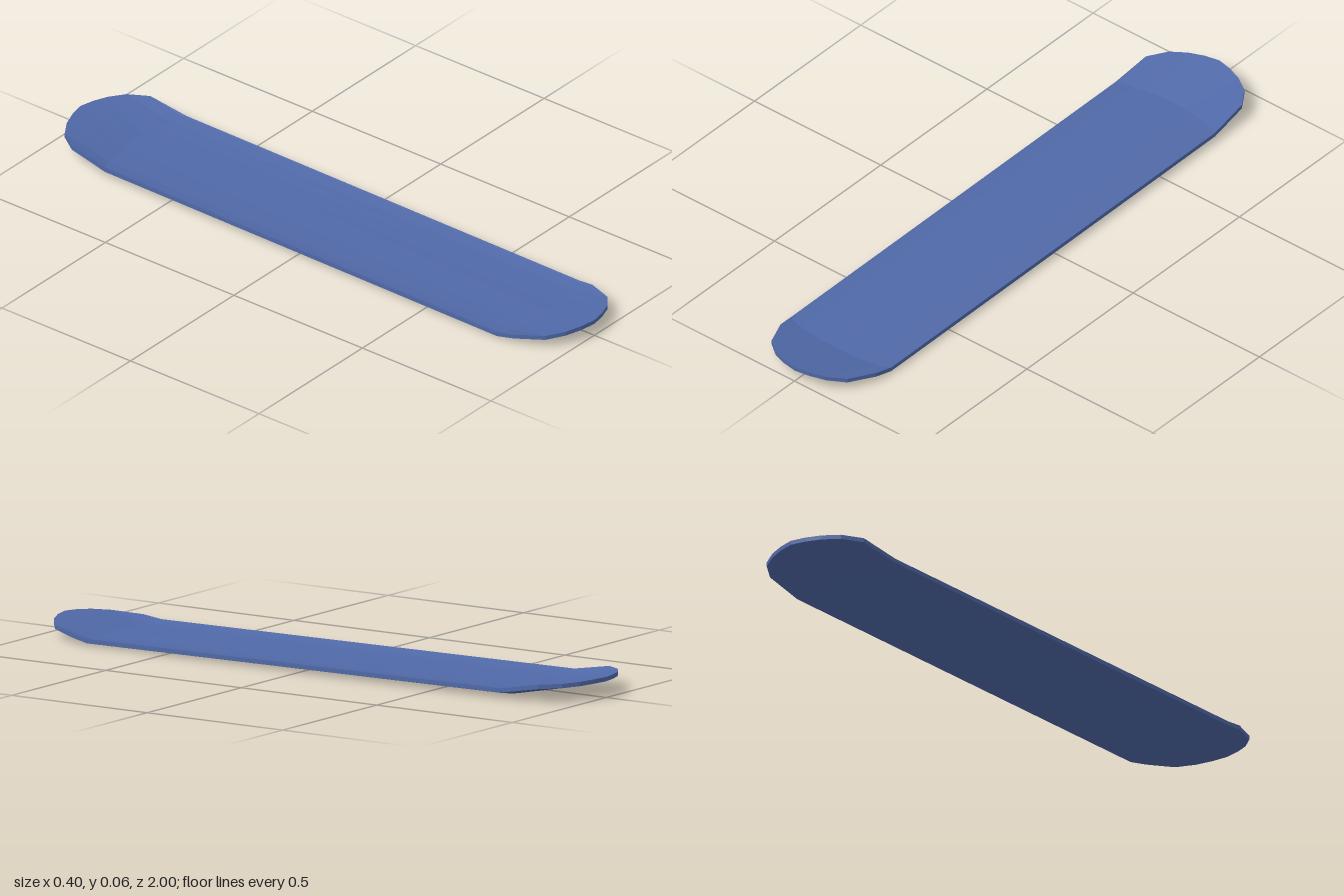
import * as THREE from 'three';

// Half cross-section of the board: x, then [z, underside y] for nose tip, nose bend, tail bend, tail tip
const HALF = [
  [0.0, [1.0, 0.041], [0.805, 0.002], [-0.79, 0.009], [-1.0, 0.051]],
  [0.05, [0.99, 0.039], [0.803, 0.001], [-0.788, 0.009], [-0.99, 0.05]],
  [0.1, [0.97, 0.035], [0.8, 0.001], [-0.78, 0.01], [-0.972, 0.048]],
  [0.15, [0.93, 0.028], [0.793, 0.002], [-0.768, 0.012], [-0.94, 0.046]],
  [0.19, [0.84, 0.018], [0.785, 0.006], [-0.752, 0.017], [-0.88, 0.043]],
  [0.198, [0.78, 0.008], [0.78, 0.008], [-0.745, 0.019], [-0.745, 0.019]],
];
const THICKNESS = 0.0135;

function boardGeometry() {
  const mirrored = HALF.slice(1).reverse().map(([x, ...rows]) => [-x, ...rows]);
  const columns = [...mirrored, ...HALF];
  const point = (i, k, top) => {
    const [z, y] = columns[i][k + 1];
    return new THREE.Vector3(columns[i][0], y + (top ? THICKNESS : 0), z);
  };
  const positions = [];
  const triangle = (a, b, c) => {
    const area = b.clone().sub(a).cross(c.clone().sub(a)).length();
    if (area > 1e-9) for (const p of [a, b, c]) positions.push(p.x, p.y, p.z);
  };
  const quad = (a, b, c, d) => {
    triangle(a, b, c);
    triangle(a, c, d);
  };
  const last = columns.length - 1;
  for (let i = 0; i < last; i++) {
    // Top and underside: nose, deck and tail
    for (let k = 0; k < 3; k++) {
      quad(point(i, k, true), point(i + 1, k, true), point(i + 1, k + 1, true), point(i, k + 1, true));
      quad(point(i, k, false), point(i, k + 1, false), point(i + 1, k + 1, false), point(i + 1, k, false));
    }
    // Rounded rims of the nose and tail
    quad(point(i, 0, false), point(i + 1, 0, false), point(i + 1, 0, true), point(i, 0, true));
    quad(point(i + 1, 3, false), point(i, 3, false), point(i, 3, true), point(i + 1, 3, true));
  }
  // Long side rims
  for (let k = 0; k < 3; k++) {
    quad(point(last, k, false), point(last, k + 1, false), point(last, k + 1, true), point(last, k, true));
    quad(point(0, k + 1, false), point(0, k, false), point(0, k, true), point(0, k + 1, true));
  }
  const geometry = new THREE.BufferGeometry();
  geometry.setAttribute('position', new THREE.Float32BufferAttribute(positions, 3));
  geometry.computeVertexNormals();
  return geometry;
}

export function createModel() {
  const group = new THREE.Group();
  group.name = 'skateboardDeck';
  const blue = new THREE.MeshStandardMaterial({ color: 0x5069a8, flatShading: true });
  blue.name = 'blue';
  const deck = new THREE.Mesh(boardGeometry(), blue);
  deck.name = 'deck';
  group.add(deck);
  return group;
}
